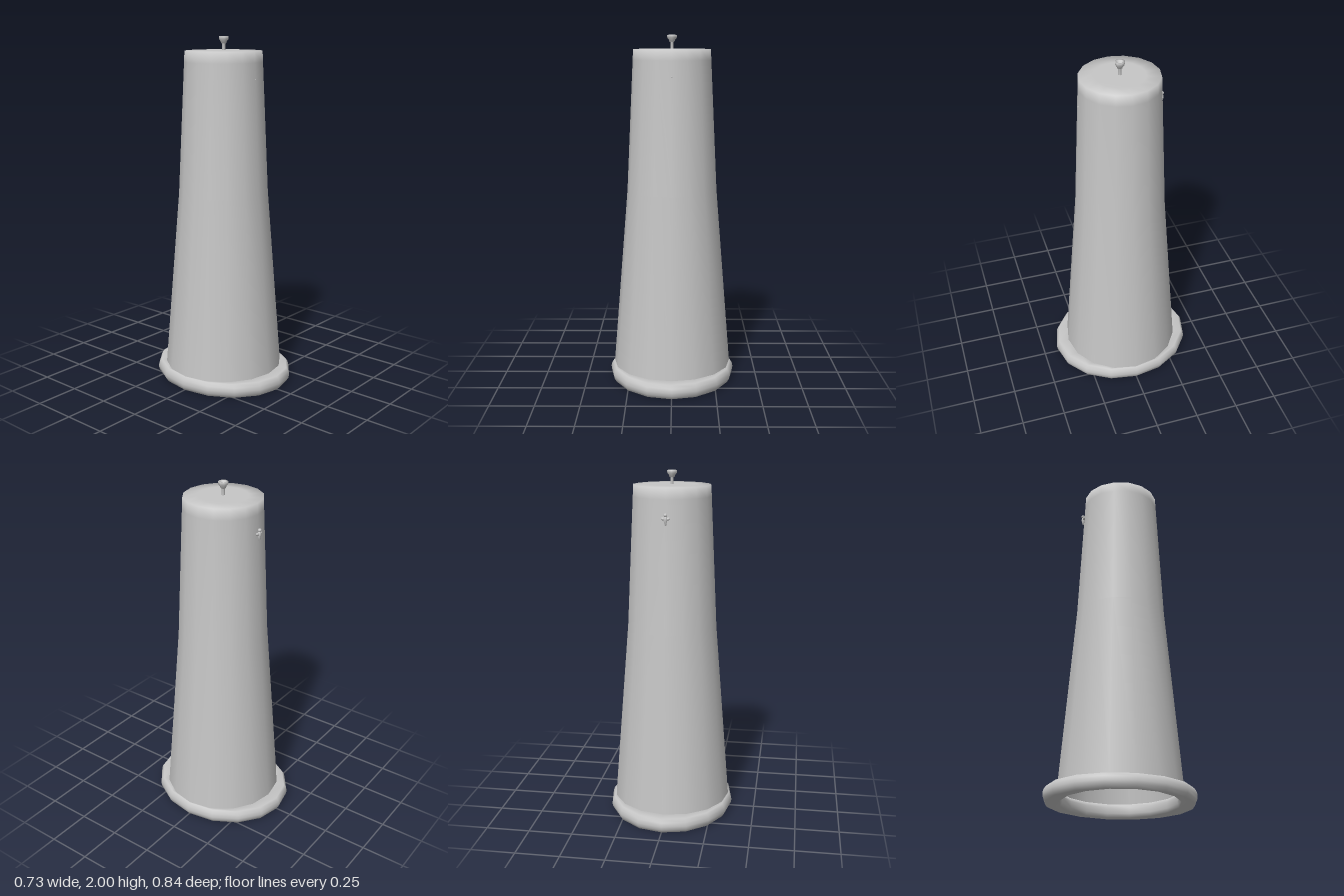
import * as THREE from 'three';
import { mergeVertices } from 'three/addons/utils/BufferGeometryUtils.js';

const SIDES = 16;
const pts = (list) => list.map(([r, y]) => new THREE.Vector2(r, y));

export function createModel() {
  const model = new THREE.Group();
  model.name = 'tallHat';
  const grey = new THREE.MeshStandardMaterial({ color: 0xc6c6c6 });
  grey.name = 'light grey';

  const add = (name, geometry, parent = model) => {
    const mesh = new THREE.Mesh(geometry, grey);
    mesh.name = name;
    parent.add(mesh);
    return mesh;
  };
  const lathe = (list, sides = SIDES) => new THREE.LatheGeometry(pts(list), sides);

  // Tall tapered shell with a flat crown and softly shaded rim
  add('crownShell', lathe([
    [0.347, 0.04], [0.343, 0.085], [0.258, 1.12], [0.222, 1.86],
    [0.219, 1.922], [0.14, 1.925], [0.0, 1.925],
  ]));

  // Hollow inside, facing inward
  add('crownLining', lathe([
    [0.0, 1.91], [0.207, 1.905], [0.246, 1.12], [0.33, 0.085], [0.334, 0.04],
  ]));

  // Rolled brim: round opening, outer edge stretched from front to back
  const brimProfile = [
    [0.318, 0.03], [0.328, 0.008], [0.35, 0.004], [0.362, 0.024], [0.365, 0.044],
    [0.36, 0.066], [0.347, 0.085], [0.328, 0.085], [0.32, 0.065], [0.318, 0.03],
  ];
  let brim = lathe(brimProfile);
  const pos = brim.attributes.position;
  for (let i = 0; i < pos.count; i++) {
    const [r, y] = brimProfile[i % brimProfile.length];
    if (r > 0.34) pos.setZ(i, pos.getZ(i) * (r + 0.055) / r);
  }
  brim.deleteAttribute('uv');
  brim.deleteAttribute('normal');
  brim = mergeVertices(brim, 1e-5);
  brim.computeVertexNormals();
  add('brim', brim);

  // Small finial with a hollow cup
  add('finial', lathe([
    [0.009, 1.92], [0.009, 1.96], [0.015, 1.963], [0.017, 1.972],
    [0.027, 1.985], [0.027, 2.0], [0.019, 1.999], [0.012, 1.985], [0, 1.982],
  ], 8));

  // Tip of the pin on the front
  const tip = add('frontPinTip', new THREE.CylinderGeometry(0.003, 0.005, 0.012, 8));
  tip.rotation.x = Math.PI / 2;
  tip.position.set(0, 1.772, 0.224);

  // Ornament on the back: knob, spread wings and a tapering tail
  const ornament = new THREE.Group();
  ornament.name = 'backOrnament';
  ornament.position.set(0, 1.755, -0.234);
  model.add(ornament);

  const knob = add('ornamentKnob', new THREE.SphereGeometry(0.01, 10, 8), ornament);
  knob.position.set(0, 0.024, -0.002);
  add('ornamentBody', lathe([
    [0, -0.034], [0.005, -0.03], [0.007, -0.015], [0.011, -0.002],
    [0.009, 0.01], [0.005, 0.018], [0, 0.02],
  ], 10), ornament);
  for (const side of [-1, 1]) {
    const wing = add('ornamentWing', new THREE.SphereGeometry(0.01, 10, 8), ornament);
    wing.scale.set(1.3, 0.8, 0.7);
    wing.position.set(side * 0.013, 0.004, 0.002);
    wing.rotation.z = side * 0.3;
  }
  return model;
}
